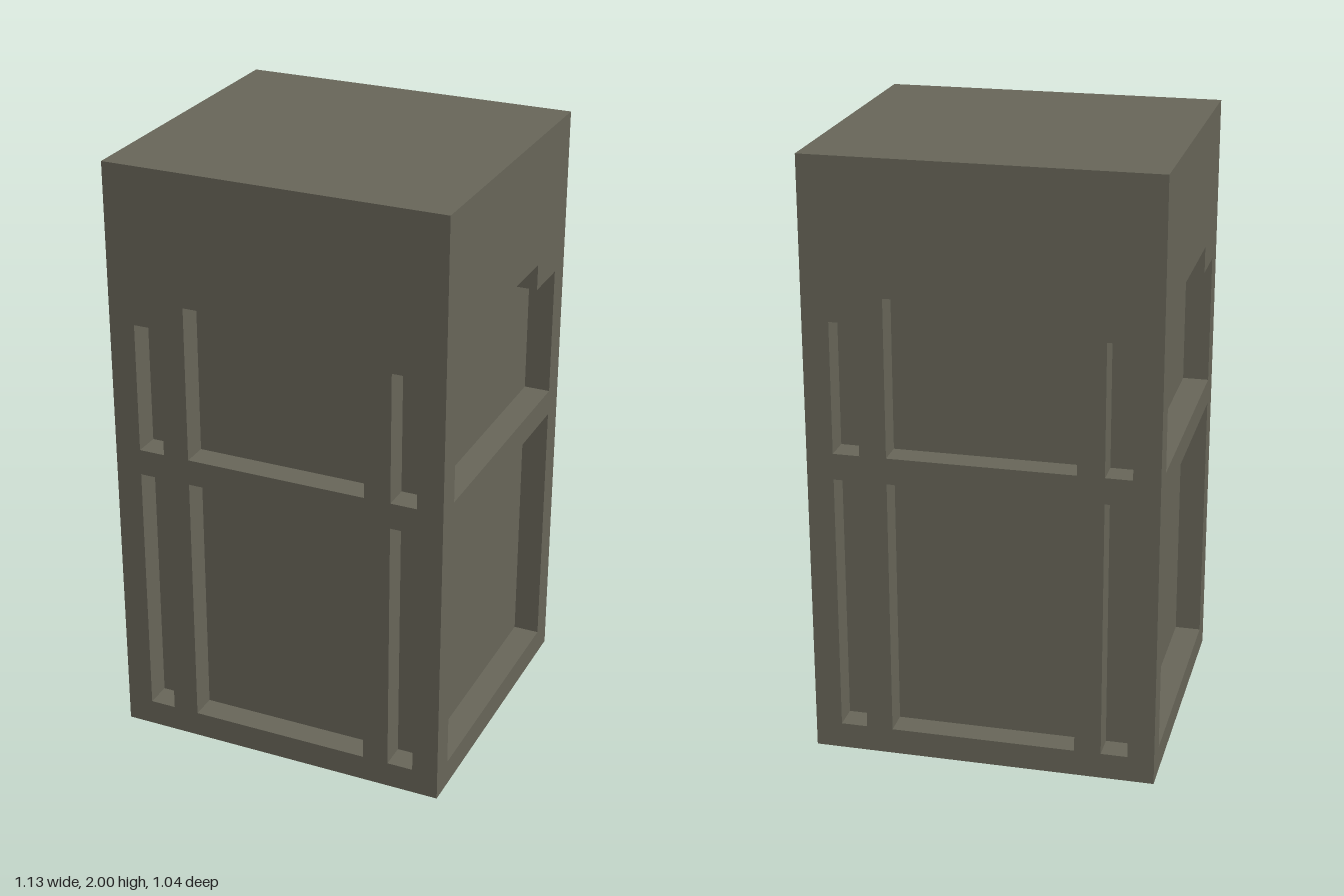
import * as THREE from 'three';
import { mergeGeometries } from 'three/addons/utils/BufferGeometryUtils.js';

const U = 1 / 23;                    // design grid: 26 wide, 46 high, 24 deep
const W = 13, H = 46, D = 12;        // half width, height, half depth
const DEPTH = 2;                     // how far the panels are sunk in

const vec = pts => pts.map(([x, y]) => new THREE.Vector2(x * U, y * U));
const rect = (x0, y0, x1, y1) => [[x0, y0], [x1, y0], [x1, y1], [x0, y1]];

// Sunken panel: floor plus walls around a counter-clockwise outline
function recessGeometry(pts) {
  const floor = new THREE.ShapeGeometry(new THREE.Shape(vec(pts))).toNonIndexed();
  floor.deleteAttribute('uv');
  floor.translate(0, 0, -DEPTH * U);
  const pos = [];
  pts.forEach(([ax, ay], i) => {
    const [bx, by] = pts[(i + 1) % pts.length];
    pos.push(ax, ay, 0, bx, by, 0, bx, by, -DEPTH, ax, ay, 0, bx, by, -DEPTH, ax, ay, -DEPTH);
  });
  const walls = new THREE.BufferGeometry();
  walls.setAttribute('position', new THREE.Float32BufferAttribute(pos.map(v => v * U), 3));
  walls.computeVertexNormals();
  return mergeGeometries([floor, walls]);
}

// One face of the block: flat frame with cut-outs, and a recess behind each
function makeFace(name, outline, recesses, material) {
  const group = new THREE.Group();
  group.name = name;
  const shape = new THREE.Shape(vec(outline));
  shape.holes = recesses.map(r => new THREE.Path(vec(r)));
  const frame = new THREE.Mesh(new THREE.ShapeGeometry(shape), material);
  frame.name = name + 'Frame';
  group.add(frame);
  recesses.forEach((r, i) => {
    const recess = new THREE.Mesh(recessGeometry(r), material);
    recess.name = name + 'Recess' + (i + 1);
    group.add(recess);
  });
  return group;
}

export function createModel() {
  const model = new THREE.Group();
  model.name = 'panelledBlock';
  const stone = new THREE.MeshStandardMaterial({ color: 0x69675a });
  stone.name = 'olive grey';

  // Front and back: large central panels between narrow slots
  const frontRecesses = [rect(-7, 2, 7, 22), rect(-7, 24, 7, 36)];
  for (const x of [-11, 9]) frontRecesses.push(rect(x, 2, x + 2, 22), rect(x, 24, x + 2, 34));
  // Sides: plain lower panel, stepped upper panel
  const sideRecesses = [
    rect(-10, 2, 10, 22),
    [[-10, 24], [10, 24], [10, 34], [6, 34], [6, 36], [-6, 36], [-6, 34], [-10, 34]],
  ];
  // Underside: two narrow and two wide slots running front to back
  const baseRecesses = [[-11, -9], [-7, -1], [1, 7], [9, 11]].map(([a, b]) => rect(a, -10, b, 10));

  for (const s of [1, -1]) {
    const end = makeFace(s > 0 ? 'front' : 'back', rect(-W, 0, W, H), frontRecesses, stone);
    end.rotation.y = s > 0 ? 0 : Math.PI;
    end.position.z = s * D * U;
    const side = makeFace(s > 0 ? 'leftSide' : 'rightSide', rect(-D, 0, D, H), sideRecesses, stone);
    side.rotation.y = s * Math.PI / 2;
    side.position.x = s * W * U;
    model.add(end, side);
  }

  const base = makeFace('base', rect(-W, -D, W, D), baseRecesses, stone);
  base.rotation.x = Math.PI / 2;
  const top = makeFace('top', rect(-W, -D, W, D), [], stone);
  top.rotation.x = -Math.PI / 2;
  top.position.y = H * U;
  model.add(base, top);
  return model;
}
